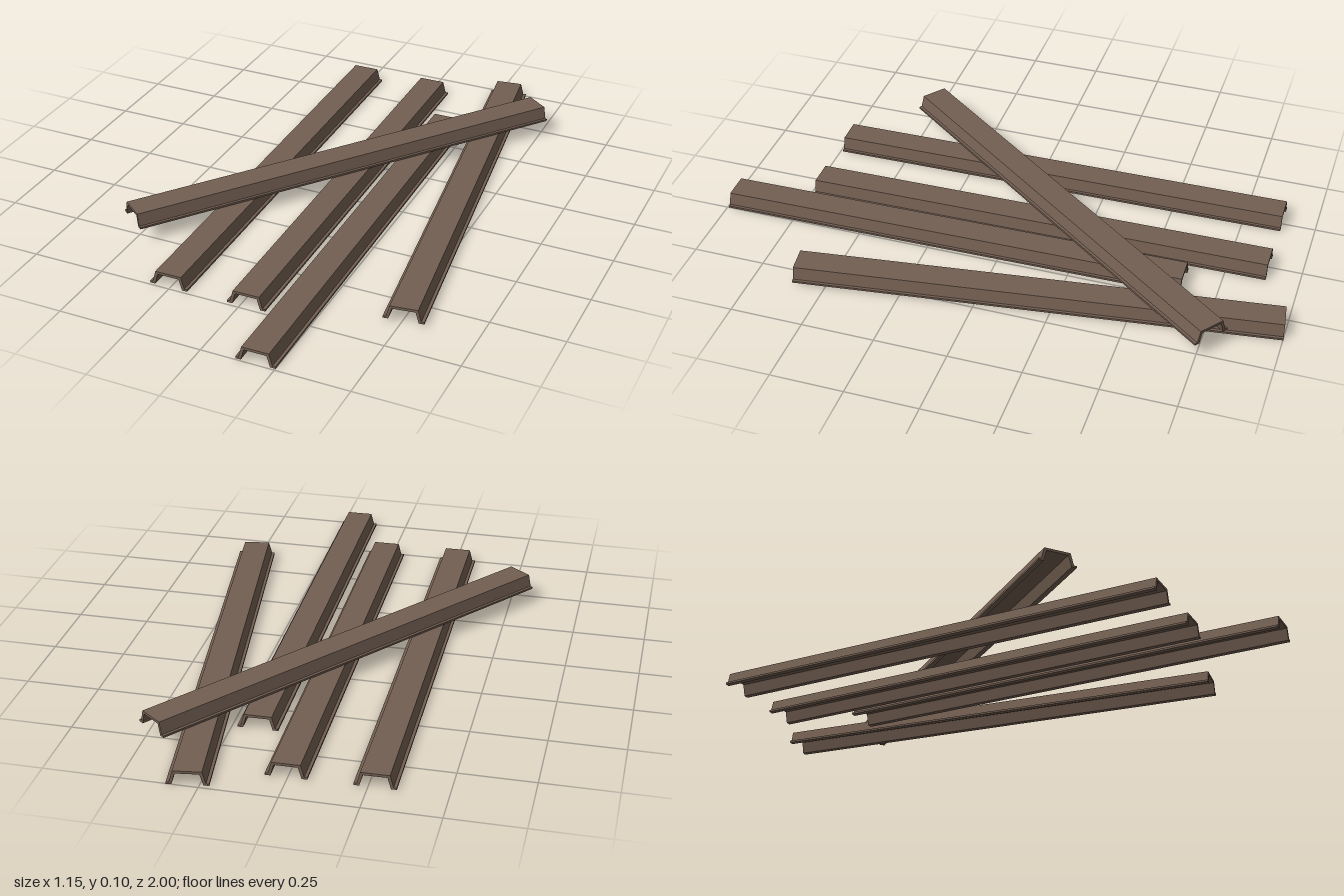
import * as THREE from 'three';

const LENGTH = 1.626;

// Hat-shaped channel: top plate, two sloping webs, two small flanges
function channelGeometry() {
  const half = [ // right half, outer edge then inner edge
    [0.046, 0.048], [0.057, 0.007], [0.067, 0.007], [0.067, 0], [0.049, 0], [0.038, 0.039],
  ];
  const mirrored = half.map(([x, y]) => [-x, y]).reverse();
  const shape = new THREE.Shape([...half, ...mirrored].map(([x, y]) => new THREE.Vector2(x, y)));
  const geometry = new THREE.ExtrudeGeometry(shape, { depth: LENGTH, bevelEnabled: false });
  geometry.translate(0, 0, -LENGTH / 2);
  return geometry;
}

export function createModel() {
  const model = new THREE.Group();
  model.name = 'beamPile';
  const rustySteel = new THREE.MeshStandardMaterial({ color: 0x735f52, flatShading: true });
  rustySteel.name = 'rusty brown steel';
  const geometry = channelGeometry();

  // Each beam: centre of its underside at the back end, then at the front end
  const beams = [
    ['rightBeam', [-0.272, 0.002, -0.885], [-0.255, 0.002, 0.742]],
    ['middleBeam', [0.005, 0.002, -0.888], [0.022, 0.002, 0.738]],
    ['forwardBeam', [0.164, 0.002, -0.632], [0.184, 0.002, 0.995]],
    ['tiltedLeftBeam', [0.286, 0.001, -0.991], [0.508, 0.011, 0.616]],
    ['crossingTopBeam', [0.466, 0.052, -0.788], [-0.524, 0.052, 0.503]],
  ];
  for (const [name, back, front] of beams) {
    const a = new THREE.Vector3(...back);
    const b = new THREE.Vector3(...front);
    const beam = new THREE.Mesh(geometry, rustySteel);
    beam.name = name;
    beam.position.copy(a).lerp(b, 0.5);
    beam.lookAt(b);
    model.add(beam);
  }
  return model;
}
